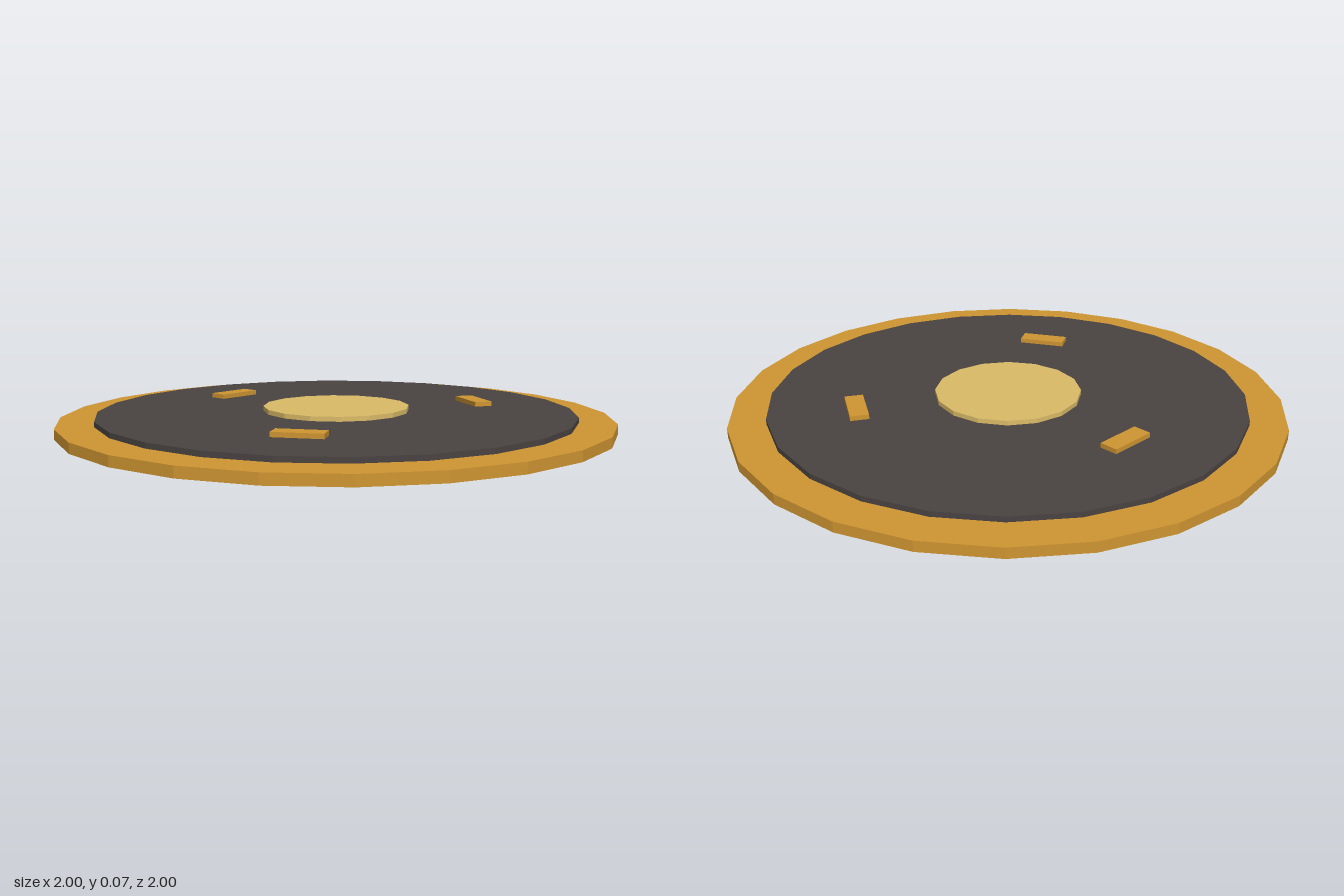
import * as THREE from 'three';

const material = (color) => new THREE.MeshStandardMaterial({ color, flatShading: true });

export function createModel() {
  const group = new THREE.Group();
  const orange = material(0xd09632);
  const charcoal = material(0x4a4442);
  const gold = material(0xdcbc68);

  // Adds a flat faceted disc spanning bottom to top
  const addDisc = (name, radius, bottom, top, sides, mat) => {
    const disc = new THREE.Mesh(new THREE.CylinderGeometry(radius, radius, top - bottom, sides), mat);
    disc.name = name;
    disc.position.y = (bottom + top) / 2;
    group.add(disc);
  };

  addDisc('basePlate', 1, 0, 0.037, 24, orange);
  addDisc('darkInlay', 0.867, 0.037, 0.056, 24, charcoal);
  addDisc('centreHub', 0.267, 0.056, 0.073, 16, gold);

  // Three tangential marker blocks, the first at the back
  const markerGeometry = new THREE.BoxGeometry(0.175, 0.017, 0.067);
  for (let i = 0; i < 3; i++) {
    const angle = Math.PI + (i * Math.PI * 2) / 3;
    const marker = new THREE.Mesh(markerGeometry, orange);
    marker.name = `marker${i + 1}`;
    marker.position.set(Math.sin(angle) * 0.553, 0.0645, Math.cos(angle) * 0.553);
    marker.rotation.y = angle;
    group.add(marker);
  }

  return group;
}
